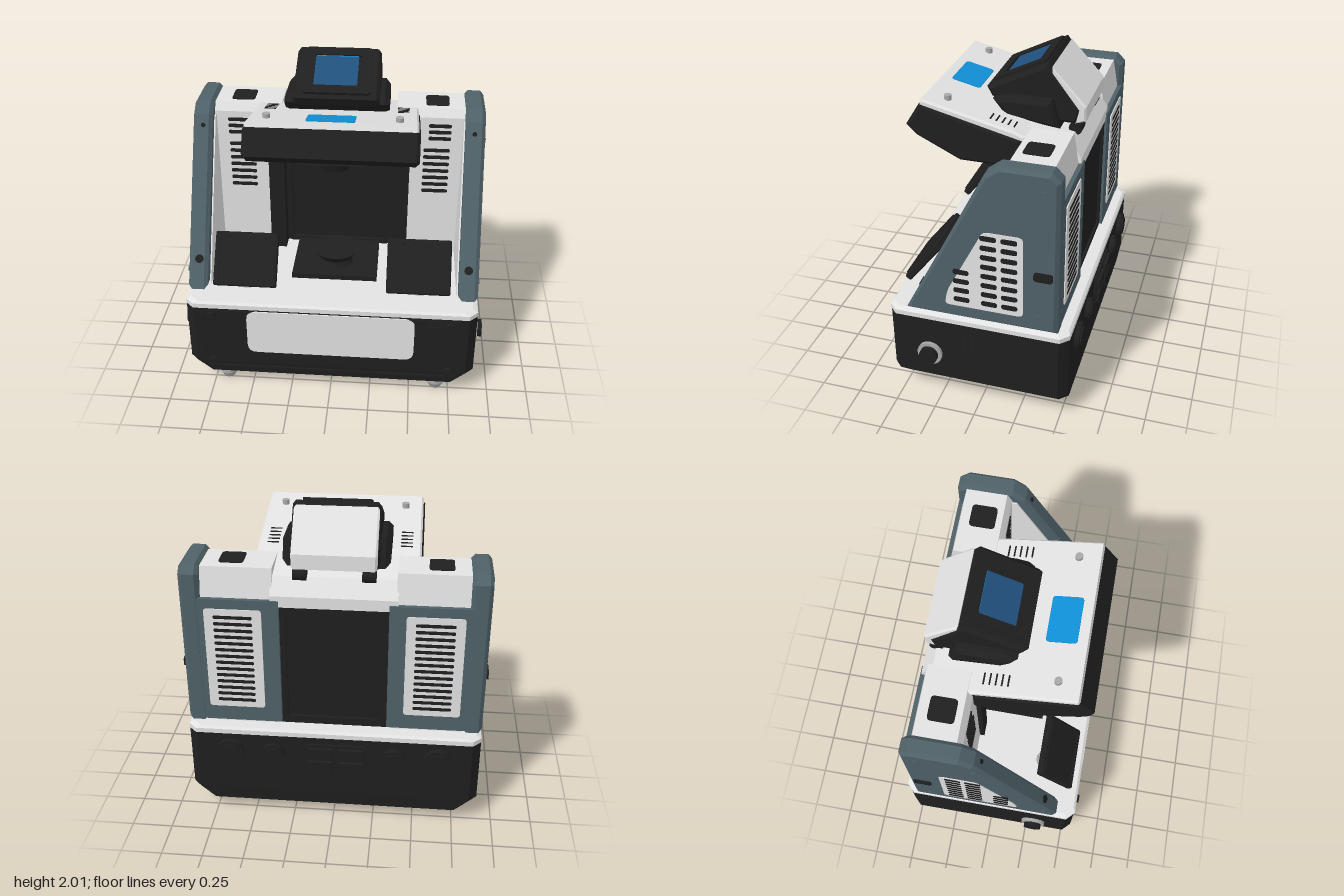
import * as THREE from 'three';
import { ConvexGeometry } from 'three/addons/geometries/ConvexGeometry.js';
import { RoundedBoxGeometry } from 'three/addons/geometries/RoundedBoxGeometry.js';

const flat = (name, color) => Object.assign(new THREE.MeshStandardMaterial({ color }), { name });

export function createModel() {
  const model = new THREE.Group();
  model.name = 'desktopMachine';
  const black = flat('black', 0x1f1f1f);
  const white = flat('white', 0xe2e2e2);
  const slate = flat('slate', 0x4f6168);
  const grey = flat('grey', 0xa8a8a8);
  const blue = flat('bright blue', 0x1090d8);
  const navy = flat('screen blue', 0x20507c);

  const add = (name, geo, mat, pos = [0, 0, 0], rot = [0, 0, 0]) => {
    const m = new THREE.Mesh(geo, mat);
    m.name = name;
    m.position.set(...pos);
    m.rotation.set(...rot);
    model.add(m);
    return m;
  };

  // Polygon with corners rounded by r
  const poly = (pts, r = 0) => {
    const v = pts.map(p => new THREE.Vector2(...p));
    if (!r) return new THREE.Shape(v);
    const s = new THREE.Shape();
    v.forEach((p, i) => {
      const a = v[(i + v.length - 1) % v.length].clone().sub(p).setLength(r).add(p);
      const b = v[(i + 1) % v.length].clone().sub(p).setLength(r).add(p);
      if (i) s.lineTo(a.x, a.y); else s.moveTo(a.x, a.y);
      s.quadraticCurveTo(p.x, p.y, b.x, b.y);
    });
    s.closePath();
    return s;
  };
  const rect = (w, h, r) => poly([[-w / 2, -h / 2], [w / 2, -h / 2], [w / 2, h / 2], [-w / 2, h / 2]], r);

  // Side profile of [z, y] points, extruded across x and centred on xc
  const profile = (name, pts, xc, width, mat, bevel = 0, r = 0) => {
    const geo = new THREE.ExtrudeGeometry(poly(pts, r), {
      depth: width - 2 * bevel, bevelEnabled: bevel > 0, bevelSize: bevel,
      bevelThickness: bevel, bevelOffset: -bevel, bevelSegments: 1, curveSegments: 4,
    });
    geo.translate(0, 0, bevel - width / 2).rotateY(-Math.PI / 2);
    return add(name, geo, mat, [xc, 0, 0]);
  };

  // Thin rounded plate, facing +z before rotation; rim > 0 leaves only a frame
  const plate = (name, w, h, r, mat, pos, rot, rim = 0, depth = 0.008) => {
    const s = rect(w, h, r);
    if (rim) s.holes.push(rect(w - 2 * rim, h - 2 * rim, r * 0.6));
    const geo = new THREE.ExtrudeGeometry(s, { depth, bevelEnabled: false, curveSegments: 4 });
    geo.translate(0, 0, -depth / 2);
    return add(name, geo, mat, pos, rot);
  };
  const box = (name, x0, x1, y0, y1, z0, z1, mat) => add(name,
    new THREE.BoxGeometry(Math.abs(x1 - x0), y1 - y0, z1 - z0), mat, [(x0 + x1) / 2, (y0 + y1) / 2, (z0 + z1) / 2]);
  const disc = (name, r0, r1, len, mat, pos, rot) => add(name, new THREE.CylinderGeometry(r0, r1, len, 24), mat, pos, rot);
  const alongX = [0, 0, Math.PI / 2], alongZ = [Math.PI / 2, 0, 0], faceX = [0, Math.PI / 2, 0];

  // Base: hulls of corner-cut rings [y, half width, front z, back z]
  const hull = (name, rings, mat) => add(name, new ConvexGeometry(rings.flatMap(([y, hx, zf, zb]) =>
    [-1, 1].flatMap(s => [[hx - 0.05, zf], [hx, zf - 0.05], [hx, zb + 0.05], [hx - 0.05, zb]]
      .map(([x, z]) => new THREE.Vector3(s * x, y, z))))), mat);
  hull('base', [[0.08, 0.81, 0.54, -0.53], [0.17, 0.9, 0.555, -0.54], [0.585, 0.9, 0.555, -0.54]], black);
  hull('basePlate', [[0.585, 0.9, 0.56, -0.545], [0.615, 0.9, 0.56, -0.545], [0.628, 0.87, 0.545, -0.53]], white);
  plate('basePanel', 1.04, 0.31, 0.06, white, [0, 0.418, 0.559]);
  plate('baseFrame', 1.6, 0.44, 0.05, black, [0, 0.35, 0.557], [0, 0, 0], 0.015);
  plate('frontSlot', 0.08, 0.022, 0.008, black, [0.65, 0.51, 0.559]);

  // Rear sockets and switch module
  box('switchModule', -0.2, 0.17, 0.34, 0.54, -0.555, -0.53, black);
  for (const x of [-0.11, 0.08]) for (const y of [0.39, 0.485])
    box('switch', x - 0.075, x + 0.075, y - 0.035, y + 0.035, -0.575, -0.55, black);

  for (const s of [-1, 1]) {
    // Feet, corner bolts, knobs and rear fans
    for (const z of [0.47, -0.38]) {
      disc('foot', 0.062, 0.062, 0.04, grey, [s * 0.67, 0.065, z]);
      disc('footTip', 0.06, 0.038, 0.045, grey, [s * 0.67, 0.0225, z]);
    }
    for (const y of [0.18, 0.53]) disc('baseBolt', 0.025, 0.028, 0.025, black, [s * 0.74, y, 0.563], alongZ);
    disc('knobRing', 0.077, 0.077, 0.03, grey, [s * 0.905, 0.34, 0.3], alongX);
    disc('knob', 0.056, 0.056, 0.06, black, [s * 0.92, 0.34, 0.3], alongX);
    for (const dz of [-0.025, 0.025]) for (const dy of [-0.025, 0.025])
      disc('sidePin', 0.016, 0.016, 0.015, black, [s * 0.902, 0.465 + dy, 0.05 + dz], alongX);
    for (const [x, r] of [[0.64, 0.085], [0.37, 0.07]]) {
      disc('rearSocket', r, r, 0.04, black, [s * x, 0.46, -0.55], alongZ);
      disc('rearSocketCap', r * 0.7, r * 0.7, 0.03, black, [s * x, 0.46, -0.565], alongZ);
    }

    // Sloping side panel with its white lining
    profile('sidePanel', [[0.44, 0.64], [-0.06, 1.61], [-0.14, 1.67], [-0.43, 1.67], [-0.48, 1.62], [-0.48, 0.64]],
      s * 0.84, 0.12, slate, 0.022);
    profile('sideLining', [[0.36, 0.63], [-0.11, 1.58], [-0.4, 1.58], [-0.4, 0.63]], s * 0.777, 0.012, white);
    profile('sideGrille', [[0.19, 0.73], [0.17, 0.83], [-0.05, 1.26], [-0.28, 1.26], [-0.28, 0.73]],
      s * 0.9, 0.008, white, 0, 0.03);
    for (let i = 0; i < 8; i++) for (const z of i < 4 ? [0.085, -0.08, -0.2] : [-0.08, -0.2])
      plate('sideSlot', 0.095, 0.032, 0.015, black, [s * 0.903, 0.78 + i * 0.063, z], faceX);
    plate('sideHandle', 0.11, 0.055, 0.02, black, [s * 0.903, 1.025, -0.395], faceX, 0, 0.02);
    for (const [z, y] of [[0.36, 0.74], [-0.37, 0.74], [-0.39, 1.55], [-0.06, 1.5]])
      disc('sideScrew', 0.016, 0.016, 0.008, slate, [s * 0.901, y, z], alongX);
    for (const [y, r] of [[0.81, 0.026], [1.55, 0.014]])
      disc('frontScrew', r, r, 0.012, black, [s * 0.835, y, 0.44 - (y - 0.64) * 0.515], [1.095, 0, 0]);

    // Tower with vents on front, back and top
    profile('tower', [[-0.14, 0.62], [-0.14, 1.6], [-0.17, 1.652], [-0.42, 1.652], [-0.455, 1.46], [-0.455, 0.62]],
      s * 0.57, 0.42, white);
    box('towerBack', s * 0.32, s * 0.8, 0.65, 1.47, -0.48, -0.44, slate);
    plate('backGrille', 0.34, 0.66, 0.02, white, [s * 0.59, 1.08, -0.482]);
    for (let i = 0; i < 14; i++)
      plate('backSlot', 0.23, 0.02, 0.009, black, [s * 0.59, 0.8 + i * 0.043, -0.485]);
    for (let i = 0; i < 3; i++)
      plate('upperSlot', 0.14, 0.022, 0.01, black, [s * 0.63, 1.46 + i * 0.043, -0.138]);
    for (let i = 0; i < 7; i++)
      plate('lowerSlot', 0.165, 0.022, 0.01, black, [s * 0.615, 1.09 + i * 0.048, -0.138]);
    plate('topVent', 0.145, 0.155, 0.025, black, [s * 0.61, 1.653, -0.285], alongZ);
    box('jamb', s * 0.35, s * 0.45, 0.63, 1.5, -0.3, -0.11, black);

    // Tilted tablet on a post
    disc('tabletPost', 0.025, 0.025, 0.2, grey, [s * 0.54, 0.72, 0.33]);
    disc('tabletFoot', 0.06, 0.065, 0.03, grey, [s * 0.54, 0.635, 0.32]);
    add('tablet', new RoundedBoxGeometry(0.39, 0.335, 0.045, 2, 0.012), black, [s * 0.53, 0.85, 0.395], [-0.661, 0, 0]);
    plate('tabletRim', 0.36, 0.3, 0.015, black, [s * 0.53, 0.866, 0.415], [-0.661, 0, 0], 0.018);

    // Hood bolts and louvres
    disc('hoodBolt', 0.022, 0.022, 0.03, grey, [s * 0.38, 1.788, 0.32]);
    for (let i = 0; i < 5; i++) {
      const z = -0.09 + i * 0.035;
      plate('hoodLouvre', 0.07, 0.009, 0.003, black, [s * 0.4, 1.805 - 0.236 * (0.45 - z), z], [-1.803, 0, 0]);
    }
    disc('hinge', 0.04, 0.04, 0.08, black, [s * 0.2, 1.62, -0.4], alongX);
  }

  // Central back wall, framed on both faces
  box('backWall', -0.38, 0.38, 0.63, 1.46, -0.45, -0.21, black);
  plate('frontWallFrame', 0.68, 0.8, 0.03, black, [0, 1.04, -0.2], [0, 0, 0], 0.03, 0.03);
  plate('frontWallPanel', 0.54, 0.64, 0.02, black, [0, 1.02, -0.207]);
  plate('rearWallFrame', 0.62, 0.78, 0.03, black, [0, 1.05, -0.455], [0, 0, 0], 0.03, 0.02);
  profile('backBridge', [[-0.1, 1.42], [-0.1, 1.67], [-0.4, 1.6], [-0.47, 1.5], [-0.47, 1.43]], 0, 0.74, white);

  // Work stage and lens
  box('stageTray', -0.27, 0.27, 0.62, 0.66, -0.2, 0.25, black);
  disc('stageNeck', 0.08, 0.11, 0.06, black, [0, 0.685, 0.07]);
  disc('stageDisc', 0.145, 0.11, 0.05, black, [0, 0.735, 0.07]);
  disc('lensBarrel', 0.12, 0.09, 0.1, black, [0, 1.42, 0.1]);

  // Overhanging hood
  profile('hoodBody', [[0.455, 1.78], [0.545, 1.635], [0.48, 1.575], [0.22, 1.45], [-0.15, 1.45], [-0.15, 1.63]],
    0, 1.0, black, 0.02);
  profile('hoodTop', [[0.462, 1.765], [0.445, 1.805], [-0.1, 1.676], [-0.17, 1.65], [-0.17, 1.61]], 0, 0.98, white, 0.012);
  plate('hoodBadge', 0.28, 0.18, 0.02, blue, [-0.01, 1.772, 0.3], [-1.803, 0, 0]);
  plate('hoodLip', 0.4, 0.06, 0.01, black, [0, 1.535, 0.4], [1.09, 0, 0], 0.01, 0.02);

  // Display head
  profile('headCheeks', [[0.0, 1.67], [0.08, 1.77], [-0.02, 1.8], [-0.27, 1.8], [-0.32, 1.63]], 0, 0.63, black, 0.03);
  profile('head', [[-0.23, 2.0], [0.13, 1.82], [0.1, 1.765], [-0.08, 1.66], [-0.41, 1.65], [-0.43, 1.74]], 0, 0.51, black, 0.02);
  profile('headShell', [[-0.255, 1.98], [-0.46, 1.76], [-0.46, 1.67], [-0.39, 1.645], [-0.4, 1.73], [-0.25, 1.92]],
    0, 0.49, white, 0.012);
  const tilt = [-1.107, 0, 0];
  const onFace = z => 2.002 - 0.5 * (z + 0.23);
  plate('screenFrame', 0.4, 0.36, 0.02, black, [0, onFace(-0.06), -0.06], tilt, 0.06, 0.03);
  plate('screen', 0.26, 0.26, 0.01, navy, [-0.01, onFace(-0.075), -0.075], tilt);
  plate('screenBar', 0.25, 0.028, 0.004, blue, [-0.01, onFace(-0.175) + 0.003, -0.174], tilt);

  return model;
}
